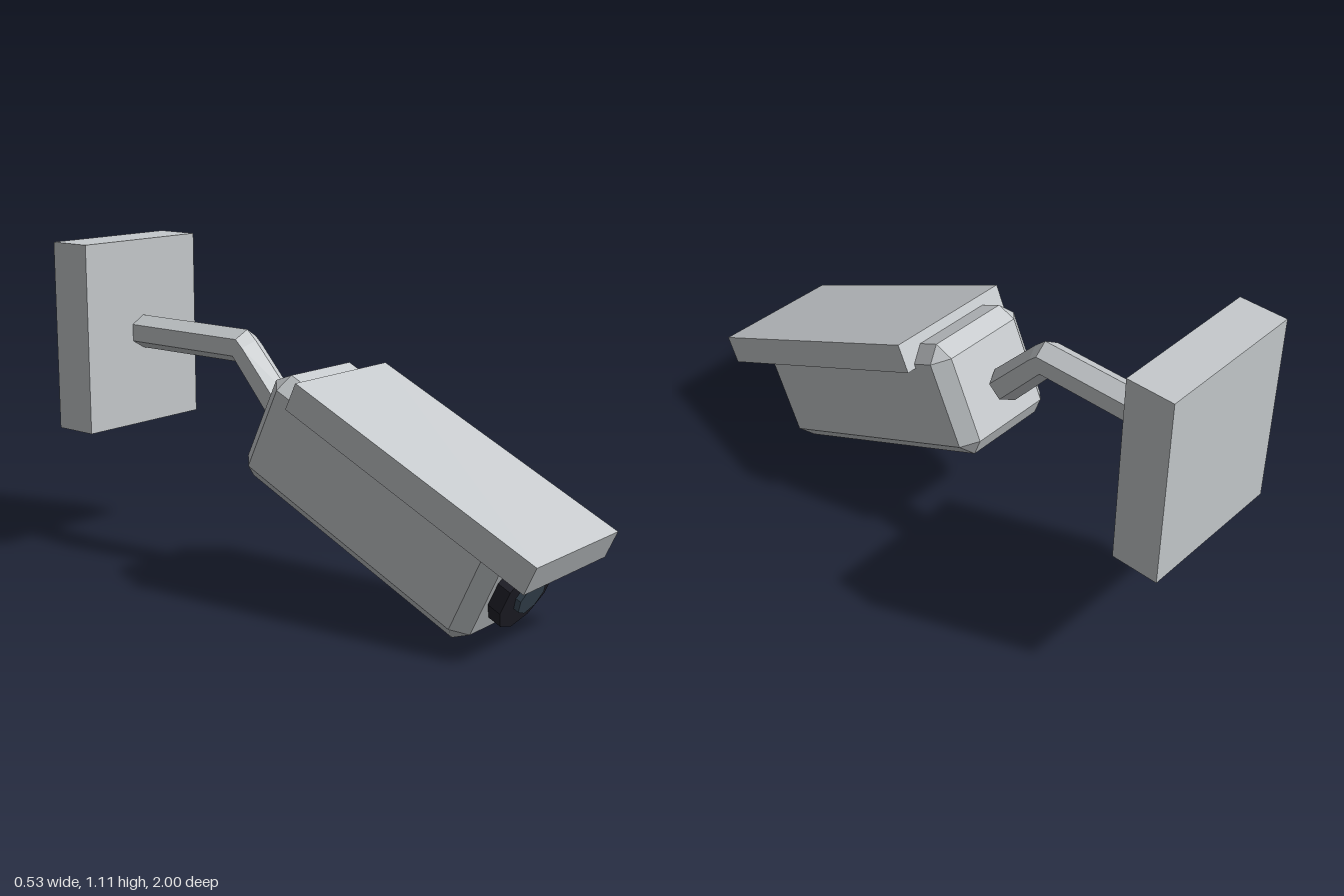
import * as THREE from 'three';
import { ConvexGeometry } from 'three/addons/geometries/ConvexGeometry.js';

const flat = (name, color) => {
  const m = new THREE.MeshStandardMaterial({ color, flatShading: true });
  m.name = name;
  return m;
};

// Box with every edge cut at 45 degrees
function chamferBox(w, h, d, c) {
  const pts = [];
  for (const sx of [-1, 1]) for (const sy of [-1, 1]) for (const sz of [-1, 1]) {
    for (let axis = 0; axis < 3; axis++) {
      const p = [w / 2, h / 2, d / 2].map((v, i) => (i === axis ? v : v - c));
      pts.push(new THREE.Vector3(p[0] * sx, p[1] * sy, p[2] * sz));
    }
  }
  return new ConvexGeometry(pts);
}

// Hexagonal bar through rings of [z, y, upZ, upY]
function hexBar(rings, radius) {
  const pos = [], index = [], n = 6;
  for (const [z, y, uz, uy] of rings) {
    for (let k = 0; k < n; k++) {
      const a = (k / n) * Math.PI * 2;
      pos.push(Math.sin(a) * radius, y + Math.cos(a) * uy, z + Math.cos(a) * uz);
    }
  }
  for (let i = 0; i < rings.length - 1; i++) {
    for (let k = 0; k < n; k++) {
      const a = i * n + k, b = i * n + (k + 1) % n;
      index.push(a, b, a + n, b, b + n, a + n);
    }
  }
  const last = (rings.length - 1) * n;
  for (let k = 1; k < n - 1; k++) {
    index.push(0, k + 1, k, last, last + k, last + k + 1);
  }
  const g = new THREE.BufferGeometry();
  g.setAttribute('position', new THREE.Float32BufferAttribute(pos, 3));
  g.setIndex(index);
  const out = g.toNonIndexed();
  out.computeVertexNormals();
  return out;
}

export function createModel() {
  const model = new THREE.Group();
  model.name = 'securityCamera';
  const grey = flat('lightGrey', 0xc6cacd);
  const black = flat('lensBlack', 0x24242e);
  const glass = flat('lensGlass', 0x3e4e5c);

  const add = (parent, name, geometry, material, x, y, z) => {
    const mesh = new THREE.Mesh(geometry, material);
    mesh.name = name;
    mesh.position.set(x, y, z);
    parent.add(mesh);
    return mesh;
  };
  // Short prism pointing forward, with one corner at the bottom
  const disc = (r, depth, sides) =>
    new THREE.CylinderGeometry(r, r, depth, sides).rotateX(Math.PI / 2);

  // Wall plate and bent arm
  add(model, 'wallPlate', new THREE.BoxGeometry(0.534, 0.672, 0.165), grey, 0, 0.781, -0.9175);
  add(model, 'arm', hexBar([
    [-0.16, 0.583, 0.045, 0.04],
    [-0.321, 0.765, 0.036, 0.042],
    [-0.34, 0.783, 0.016, 0.059],
    [-0.85, 0.783, 0, 0.06],
  ], 0.06), grey, 0, 0, 0);

  // Camera head, tilted down
  const head = new THREE.Group();
  head.name = 'cameraHead';
  head.rotation.x = THREE.MathUtils.degToRad(25);
  model.add(head);
  add(head, 'housing', chamferBox(0.4, 0.4, 1.0, 0.05), grey, 0, 0.477, 0.139);
  add(head, 'sunHood', new THREE.BoxGeometry(0.47, 0.1, 1.0), grey, 0, 0.662, 0.27);

  // Lens and small sensor beside it
  add(head, 'lensRing', disc(0.133, 0.07, 10), black, 0, 0.48, 0.652);
  add(head, 'lensGlass', disc(0.066, 0.05, 8), glass, 0, 0.48, 0.681);
  add(head, 'sensor', disc(0.02, 0.03, 8), grey, 0.13, 0.42, 0.643);

  return model;
}
